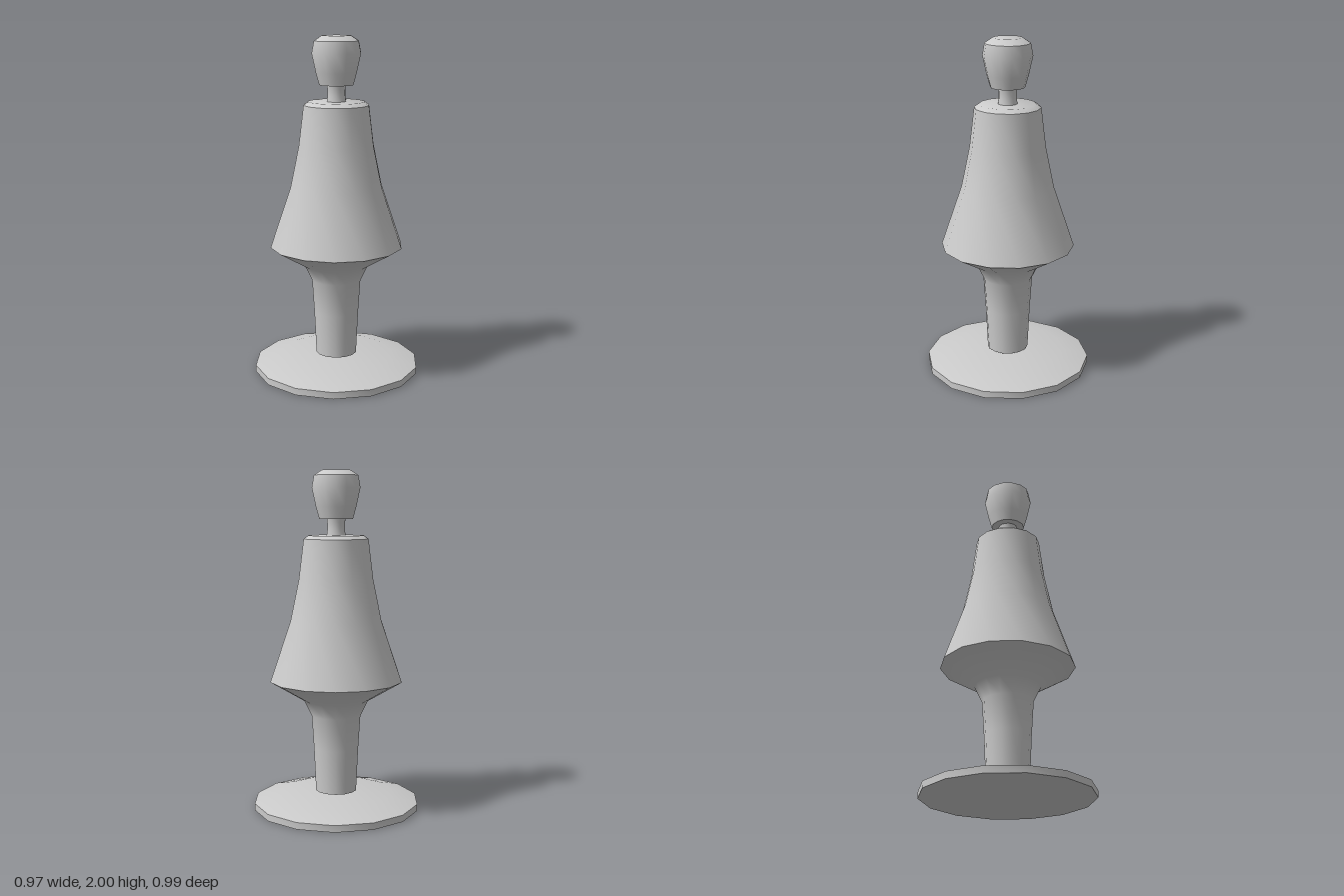
import * as THREE from 'three';
import { toCreasedNormals } from 'three/addons/utils/BufferGeometryUtils.js';

const SIDES = 14;

export function createModel() {
  const model = new THREE.Group();
  model.name = 'turnedFigure';
  const material = new THREE.MeshStandardMaterial({ color: 0xcccccc });

  // Turned part from [radius, height] pairs, listed bottom to top
  function turned(name, profile) {
    const points = profile.map(([r, y]) => new THREE.Vector2(r, y));
    const geometry = toCreasedNormals(new THREE.LatheGeometry(points, SIDES), 0.68);
    const mesh = new THREE.Mesh(geometry, material);
    mesh.name = name;
    model.add(mesh);
  }

  // Disc with a shallow sloping rim
  turned('base', [[0, 0], [0.495, 0], [0.495, 0.04], [0.34, 0.08], [0, 0.08]]);

  // Stem flaring into the skirt, up to the shoulders; sits just clear of the base
  turned('body', [
    [0, 0.1], [0.123, 0.1], [0.135, 0.36], [0.148, 0.56], [0.192, 0.65],
    [0.395, 0.77], [0.272, 1.13], [0.222, 1.37], [0.193, 1.605],
    [0.165, 1.625], [0, 1.625],
  ]);

  // Slightly waisted neck
  turned('neck', [[0.057, 1.62], [0.052, 1.66], [0.052, 1.69], [0.056, 1.725]]);

  // Rounded head with a domed top
  turned('head', [
    [0, 1.72], [0.1, 1.72], [0.12, 1.79], [0.144, 1.9], [0.131, 1.97],
    [0.085, 2], [0, 2],
  ]);

  return model;
}
